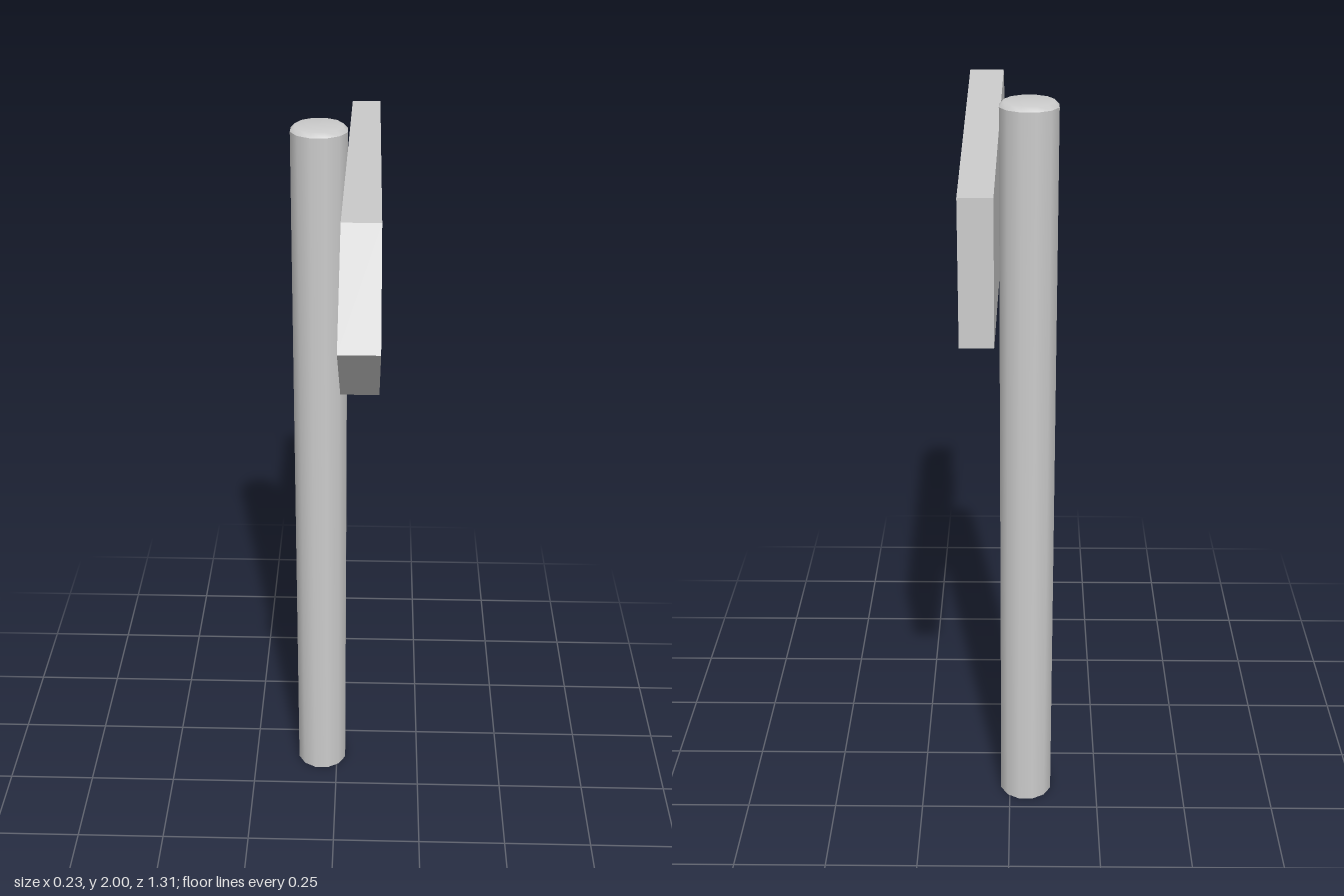
import * as THREE from 'three';

const SIDES = 12;

function lathe(points, material, name) {
  const profile = points.map(([r, y]) => new THREE.Vector2(r, y));
  const mesh = new THREE.Mesh(new THREE.LatheGeometry(profile, SIDES, Math.PI / SIDES), material);
  mesh.name = name;
  return mesh;
}

export function createModel() {
  const model = new THREE.Group();
  model.name = 'signpost';
  const grey = new THREE.MeshStandardMaterial({ color: 0xcccccc, side: THREE.DoubleSide });
  grey.name = 'plain grey';

  // Round post, open at the foot, with a softly bevelled top
  const post = new THREE.Group();
  post.name = 'post';
  post.position.set(-0.046, 0, -0.142);
  post.add(
    lathe([[0.074, 0], [0.074, 1.988]], grey, 'postShaft'),
    lathe([[0.074, 1.988], [0.062, 2], [0, 2]], grey, 'postTop')
  );
  model.add(post);

  // Arrow board: outline in (z, y), extruded through its thickness
  const outline = new THREE.Shape([
    [0.655, 1.75], [0.42, 1.955], [-0.655, 1.915], [-0.655, 1.58], [0.42, 1.54],
  ].map(([z, y]) => new THREE.Vector2(z, y)));
  const geometry = new THREE.ExtrudeGeometry(outline, { depth: 1, bevelEnabled: false });
  geometry.translate(0, 0, -0.5).rotateY(-Math.PI / 2);

  // The board grows slightly thicker towards the arrow tip
  const p = geometry.attributes.position;
  for (let i = 0; i < p.count; i++) {
    const thickness = THREE.MathUtils.mapLinear(p.getZ(i), -0.655, 0.655, 0.077, 0.093);
    p.setX(i, 0.067 + p.getX(i) * thickness);
  }
  geometry.computeVertexNormals();
  const board = new THREE.Mesh(geometry, grey);
  board.name = 'arrowBoard';
  model.add(board);

  return model;
}
